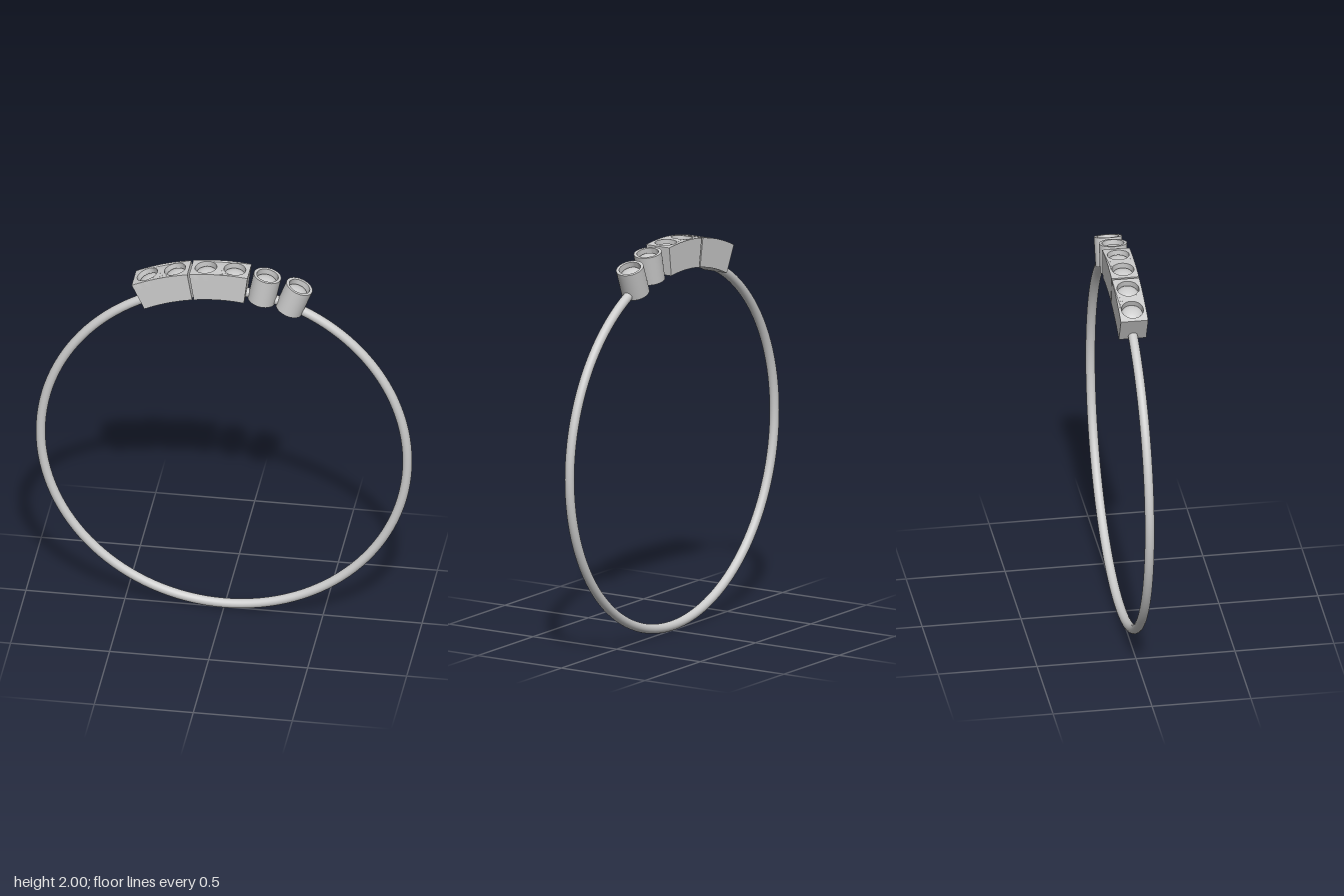
import * as THREE from 'three';
import { toCreasedNormals } from 'three/addons/utils/BufferGeometryUtils.js';

const CENTER_Y = 0.95; // centre of the band
const INNER = 0.902, FLOOR = 1.01, OUTER = 1.05; // radii of setting base, seat floor and top
const HALF_DEPTH = 0.069, GEM_R = 0.055;
const BLOCK_HALF = THREE.MathUtils.degToRad(8.05);
const GEM_STEP = THREE.MathUtils.degToRad(4);

const material = new THREE.MeshStandardMaterial({ color: 0xcccccc });

function addMesh(parent, name, geometry) {
  const mesh = new THREE.Mesh(geometry, material);
  mesh.name = name;
  parent.add(mesh);
  return mesh;
}

// Wraps a flat slab (x = arc length, z = height) around the band
function bend(geometry, baseRadius) {
  const p = geometry.attributes.position;
  for (let i = 0; i < p.count; i++) {
    const t = p.getX(i) / OUTER, r = baseRadius + p.getZ(i);
    p.setXYZ(i, r * Math.sin(t), r * Math.cos(t), -p.getY(i));
  }
  return toCreasedNormals(geometry, 0.5);
}

// Domed stone sunk in its seat, at an angle from the top of its setting
function addGem(parent, angle) {
  const geometry = new THREE.SphereGeometry(1, 32, 10, 0, Math.PI * 2, 0, Math.PI / 2);
  const gem = addMesh(parent, 'gem', geometry.scale(GEM_R, 0.03, GEM_R));
  gem.position.set(FLOOR * Math.sin(angle), FLOOR * Math.cos(angle), 0);
  gem.rotation.z = -angle;
}

// Curved block with two round seats
function createBlock() {
  const group = new THREE.Group();
  const half = BLOCK_HALF * OUTER, n = 12;
  const outline = [];
  for (let i = 0; i <= n; i++) outline.push(new THREE.Vector2(-half + 2 * half * i / n, -HALF_DEPTH));
  for (let i = n; i >= 0; i--) outline.push(new THREE.Vector2(-half + 2 * half * i / n, HALF_DEPTH));
  const shape = new THREE.Shape(outline);
  for (const side of [-1, 1]) {
    shape.holes.push(new THREE.Path().absarc(side * GEM_STEP * OUTER, 0, GEM_R, 0, Math.PI * 2, true));
    addGem(group, side * GEM_STEP);
  }
  const top = new THREE.ExtrudeGeometry(shape, { depth: OUTER - FLOOR, bevelEnabled: false, curveSegments: 20 });
  addMesh(group, 'blockTop', bend(top, FLOOR));

  const height = FLOOR - INNER;
  const base = new THREE.BoxGeometry(2 * half, 2 * HALF_DEPTH, height, n, 1, 1).translate(0, 0, height / 2);
  addMesh(group, 'blockBase', bend(base, INNER));
  return group;
}

// Round cup with one seat
function createCup() {
  const group = new THREE.Group();
  const profile = [[0, INNER], [0.07, INNER], [0.07, OUTER], [GEM_R, OUTER], [GEM_R, FLOOR], [0, FLOOR]]
    .map(([x, y]) => new THREE.Vector2(x, y));
  addMesh(group, 'cup', toCreasedNormals(new THREE.LatheGeometry(profile, 40), 0.6));
  addGem(group, 0);
  return group;
}

export function createModel() {
  const model = new THREE.Group();
  model.name = 'ring';

  // Thin round band
  addMesh(model, 'band', new THREE.TorusGeometry(0.926, 0.024, 20, 128)).position.y = CENTER_Y;

  // Settings along the top, angles in degrees towards +x
  const settings = [
    ['leftBlockSetting', createBlock, -17.65],
    ['middleBlockSetting', createBlock, -1],
    ['innerCupSetting', createCup, 12.1],
    ['outerCupSetting', createCup, 21.3],
  ];
  for (const [name, create, degrees] of settings) {
    const setting = create();
    setting.name = name.replace('left', 'end');
    setting.position.y = CENTER_Y;
    setting.rotation.z = -THREE.MathUtils.degToRad(degrees);
    model.add(setting);
  }
  return model;
}
